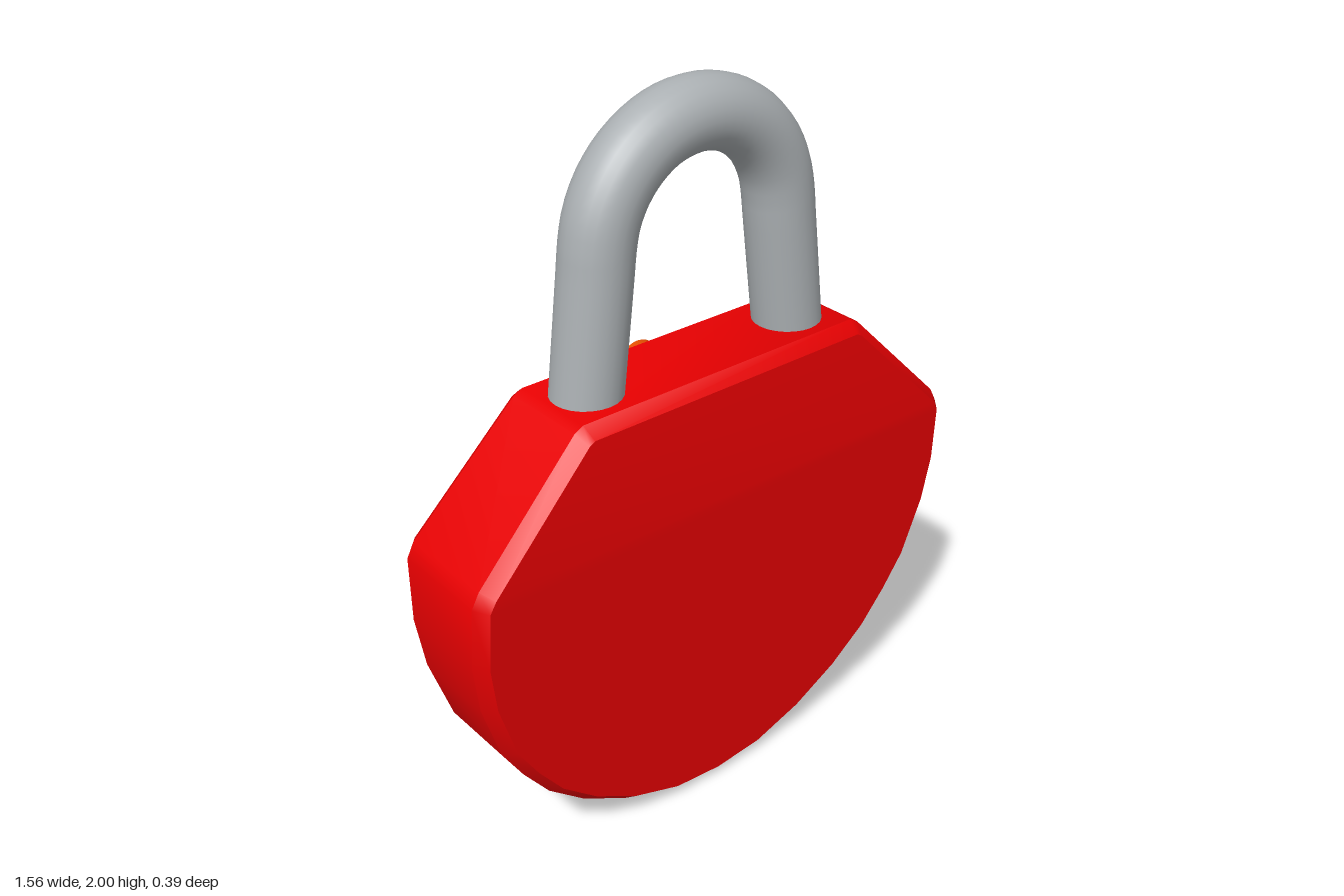
import * as THREE from 'three';
import { toCreasedNormals } from 'three/addons/utils/BufferGeometryUtils.js';

const red = new THREE.MeshStandardMaterial({ name: 'red paint', color: 0xe80001 });
const steel = new THREE.MeshStandardMaterial({ name: 'grey steel', color: 0xabb0b3 });
const copper = new THREE.MeshStandardMaterial({ name: 'copper', color: 0xe55001 });

const MID_Z = 0.02;   // depth centre of body and shackle

// Right half of the body outline, bottom to top
const HALF = [
  [0, 0.003], [0.155, 0.018], [0.31, 0.075], [0.45, 0.16], [0.562, 0.258], [0.64, 0.362],
  [0.703, 0.465], [0.759, 0.64], [0.778, 0.78], [0.772, 0.95], [0.75, 0.99], [0.455, 1.285], [0.43, 1.298],
];

// Half thickness: widest at the shoulders, thinner at the top and bottom
const halfDepth = (y) => (y < 0.97 ? 0.112 + (y / 0.97) * 0.06 : 0.172 - ((y - 0.97) / 0.33) * 0.019);

function bodyGeometry() {
  const m = HALF.length, n = 2 * m - 1, bevel = 0.028;
  const loop = [...HALF, ...HALF.slice(1).reverse().map(([x, y]) => [-x, y])]
    .map(([x, y]) => new THREE.Vector2(x, y));
  // Inset each corner along its mitred normal
  const inner = loop.map((p, i) => {
    const normal = (a, b) => new THREE.Vector2(b.y - a.y, a.x - b.x).normalize();
    const n1 = normal(loop[(i + n - 1) % n], p), n2 = normal(p, loop[(i + 1) % n]);
    const mid = n1.clone().add(n2).normalize();
    return p.clone().addScaledVector(mid, -bevel / mid.dot(n1));
  });
  // Four rings from back to front: inset, outer, outer, inset
  const rings = [[inner, -1, 0], [loop, -1, 0.034], [loop, 1, 0.034], [inner, 1, 0]];
  const pos = [], index = [];
  for (const [pts, side, drop] of rings)
    for (const p of pts) pos.push(p.x, p.y, MID_Z + side * (halfDepth(p.y) - drop));
  for (let r = 0; r < 3; r++)
    for (let i = 0; i < n; i++) {
      const a = r * n + i, b = r * n + (i + 1) % n;
      index.push(a, b, b + n, a, b + n, a + n);
    }
  // Front and back faces as strips between mirrored points
  const f = 3 * n;
  for (let i = 0; i < m - 1; i++) {
    const j = i + 1, mi = (n - i) % n, mj = n - j;
    index.push(f + i, f + j, f + mj, i, mj, j);
    if (i > 0) index.push(f + i, f + mj, f + mi, i, mi, mj);
  }
  const g = new THREE.BufferGeometry();
  g.setAttribute('position', new THREE.Float32BufferAttribute(pos, 3));
  g.setIndex(index);
  return toCreasedNormals(g, 0.6);
}

function shackleGeometry() {
  const R = 0.28, cy = 1.63, lean = 0.122, pts = [];
  const sx = R * Math.cos(lean), sy = cy + R * Math.sin(lean);
  const leg = (side, y) => new THREE.Vector3(side * (sx + (sy - y) * Math.tan(lean)), y, 0);
  for (const y of [1.2, 1.35, 1.5, 1.6]) pts.push(leg(1, y));
  for (let i = 0; i <= 14; i++) {
    const a = lean + (i / 14) * (Math.PI - 2 * lean);
    pts.push(new THREE.Vector3(R * Math.cos(a), cy + R * Math.sin(a), 0));
  }
  for (const y of [1.6, 1.5, 1.35, 1.2]) pts.push(leg(-1, y));
  return new THREE.TubeGeometry(new THREE.CatmullRomCurve3(pts), 64, 0.091, 24, false);
}

// Round pivot with a recessed ring and a central hub
function pivotGeometry() {
  const profile = [[0.065, 0], [0.065, 0.065], [0.047, 0.065], [0.047, 0.04],
    [0.026, 0.04], [0.026, 0.058], [0, 0.058]].map(([x, y]) => new THREE.Vector2(x, y));
  return toCreasedNormals(new THREE.LatheGeometry(profile, 24), 0.6);
}

export function createModel() {
  const group = new THREE.Group();
  group.name = 'padlock';
  const add = (name, geometry, material, x, y, z, rx = 0) => {
    const mesh = new THREE.Mesh(geometry, material);
    mesh.name = name;
    mesh.position.set(x, y, z);
    mesh.rotation.x = rx;
    group.add(mesh);
  };
  add('body', bodyGeometry(), red, 0, 0, 0);
  add('shackle', shackleGeometry(), steel, -0.007, 0, MID_Z);
  // Swinging keyhole cover leaning away from the back, hung on its pivot
  add('keyholeCover', new THREE.CylinderGeometry(0.483, 0.483, 0.018, 28), copper,
    0, 0.64, -0.146, -Math.PI / 2 - 0.07);
  add('coverPivot', pivotGeometry(), copper, -0.005, 1.185, -0.13, -Math.PI / 2);
  return group;
}
